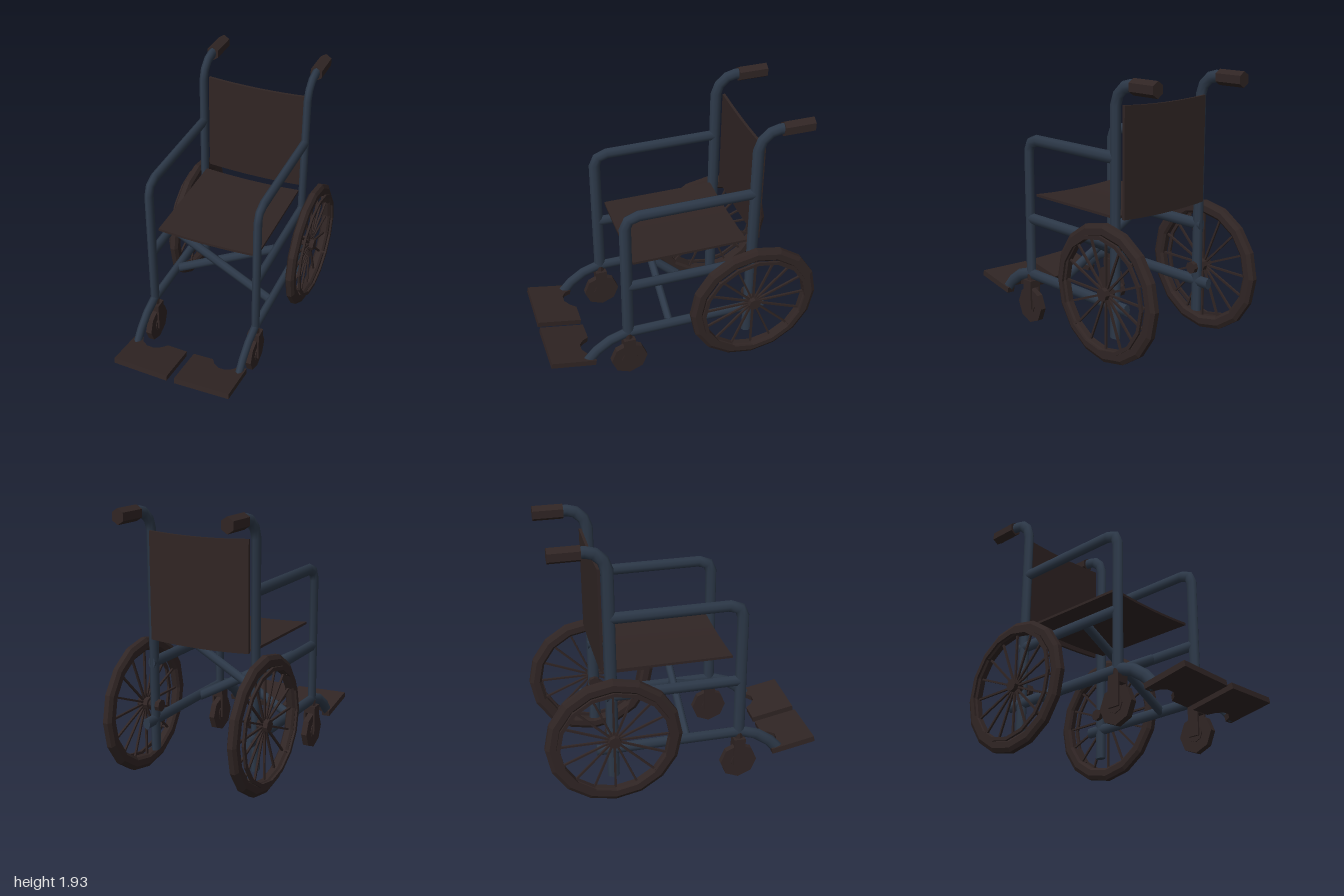
import * as THREE from 'three';
import { mergeGeometries } from 'three/addons/utils/BufferGeometryUtils.js';

const V = (x, y, z) => new THREE.Vector3(x, y, z);

// Polyline whose tube rings sit on the given points with mitred bends
class PolyCurve extends THREE.Curve {
  constructor(pts) { super(); this.pts = pts; }
  index(u) { return Math.round(u * (this.pts.length - 1)); }
  getPointAt(u, target = V(0, 0, 0)) { return target.copy(this.pts[this.index(u)]); }
  getPoint(u, target) { return this.getPointAt(u, target); }
  getTangentAt(u, target = V(0, 0, 0)) {
    const i = this.index(u), p = this.pts, n = p.length - 1;
    const a = i > 0 ? p[i].clone().sub(p[i - 1]).normalize() : V(0, 0, 0);
    const b = i < n ? p[i + 1].clone().sub(p[i]).normalize() : V(0, 0, 0);
    return target.copy(a.add(b).normalize());
  }
}

// Capped tube through points, eight sided
function tube(pts, r) {
  const curve = new PolyCurve(pts);
  const parts = [new THREE.TubeGeometry(curve, pts.length - 1, r, 8, false)];
  for (const u of [0, 1]) {
    const dir = curve.getTangentAt(u).multiplyScalar(u ? 1 : -1);
    const cap = new THREE.CircleGeometry(r, 8);
    cap.applyQuaternion(new THREE.Quaternion().setFromUnitVectors(V(0, 0, 1), dir));
    const p = curve.getPointAt(u);
    parts.push(cap.translate(p.x, p.y, p.z));
  }
  return mergeGeometries(parts);
}

// Faceted copy of a geometry
function flat(geo) {
  const g = geo.index ? geo.toNonIndexed() : geo;
  g.computeVertexNormals();
  return g;
}

// Ring of closed profile [radius, height] turned about y
function ring(profile, sides) {
  const pts = [...profile, profile[0]].map(([r, y]) => new THREE.Vector2(r, y));
  return flat(new THREE.LatheGeometry(pts, sides));
}

export function createModel() {
  const model = new THREE.Group();
  const frameMat = new THREE.MeshStandardMaterial({ color: 0x2d3949 });
  frameMat.name = 'dark blue paint';
  const darkMat = new THREE.MeshStandardMaterial({ color: 0x302524 });
  darkMat.name = 'dark brown';

  const add = (parent, name, geo, mat, x = 0, y = 0, z = 0) => {
    const m = new THREE.Mesh(geo, mat);
    m.name = name;
    m.position.set(x, y, z);
    parent.add(m);
    return m;
  };

  const CX = -0.008, TUBE = 0.043, SQUASH = 0.66;
  const path = (pts) => tube(pts.map(([y, z]) => V(0, y, z)), TUBE).scale(SQUASH, 1, 1);

  // Side frame tubes as [y, z] paths
  const frame = {
    backPost: path([[0.155, -0.51], [1.74, -0.51], [1.81, -0.535], [1.86, -0.59], [1.875, -0.65], [1.875, -0.7]]),
    armrest: path([[0.36, 0.415], [1.31, 0.415], [1.37, 0.39], [1.395, 0.32], [1.395, -0.51]]),
    middleRail: path([[0.807, 0.415], [0.807, -0.545]]),
    lowerRail: path([[0.38, -0.625], [0.38, 0.43], [0.34, 0.55], [0.27, 0.65], [0.19, 0.72]]),
  };

  // Wheel pieces, axis along y, outward is +y
  const tyreGeo = ring([[0.483, -0.018], [0.483, 0.018], [0.455, 0.034], [0.41, 0.034],
    [0.392, 0.02], [0.392, -0.02], [0.41, -0.034], [0.455, -0.034]], 16);
  const handRimGeo = ring([[0.41, 0.047], [0.41, 0.063], [0.384, 0.063], [0.384, 0.047]], 16);

  function wheel(s) {
    const g = new THREE.Group();
    g.name = s > 0 ? 'leftRearWheel' : 'rightRearWheel';
    add(g, 'tyre', tyreGeo, darkMat);
    add(g, 'handRim', handRimGeo, darkMat);
    add(g, 'hub', flat(new THREE.CylinderGeometry(0.045, 0.045, 0.08, 8)), darkMat, 0, 0, 0);
    add(g, 'axle', flat(new THREE.CylinderGeometry(0.025, 0.025, 0.12, 8)), darkMat, 0, -0.06, 0);
    add(g, 'axleNut', flat(new THREE.CylinderGeometry(0.044, 0.044, 0.035, 8)), darkMat, 0, -0.12, 0);
    for (let i = 0; i < 16; i++) {
      const a = (i / 16) * Math.PI * 2;
      const spoke = new THREE.BoxGeometry(0.014, 0.014, 0.37).translate(0, 0, 0.215);
      add(g, 'spoke', spoke, darkMat).rotation.y = a;
      if (i % 4 === 2) {
        const standoff = new THREE.BoxGeometry(0.014, 0.04, 0.014).translate(0, 0.035, 0.396);
        add(g, 'rimStandoff', standoff, darkMat).rotation.y = a;
      }
    }
    g.rotation.z = -s * Math.PI / 2;
    g.position.set(s * 0.476, 0.49, -0.51);
    return g;
  }

  // Small front wheel with its fork
  function caster(s) {
    const g = new THREE.Group();
    g.name = s > 0 ? 'leftCaster' : 'rightCaster';
    const axis = (geo) => flat(geo.rotateZ(Math.PI / 2));
    add(g, 'casterTyre', axis(new THREE.CylinderGeometry(0.136, 0.136, 0.044, 8)), darkMat, 0, 0.136, 0);
    add(g, 'casterHub', axis(new THREE.CylinderGeometry(0.06, 0.06, 0.056, 8)), darkMat, 0, 0.136, 0);
    add(g, 'forkCrown', new THREE.BoxGeometry(0.09, 0.055, 0.085), darkMat, 0, 0.307, 0);
    add(g, 'forkStem', flat(new THREE.CylinderGeometry(0.032, 0.032, 0.06, 8)), darkMat, 0, 0.35, 0);
    for (const side of [-1, 1])
      add(g, 'forkProng', new THREE.BoxGeometry(0.014, 0.2, 0.085), darkMat, side * 0.038, 0.215, 0);
    g.position.set(CX + s * 0.4, 0, 0.415);
    return g;
  }

  // Footplate outline, notched at the rear for the heel
  function footplate(s) {
    const outline = [[-0.205, 0.165], [0.205, 0.165], [0.205, -0.165], [0.145, -0.165], [0.12, -0.115],
      [0.075, -0.085], [0.02, -0.085], [-0.025, -0.12], [-0.055, -0.165], [-0.205, -0.165]];
    const shape = new THREE.Shape(outline.map(([x, z]) => new THREE.Vector2(x * s, z)));
    const geo = new THREE.ExtrudeGeometry(shape, { depth: 0.042, bevelEnabled: false });
    geo.rotateX(Math.PI / 2).translate(0, 0.021, 0);
    const m = add(model, s > 0 ? 'leftFootplate' : 'rightFootplate', geo, darkMat, CX + s * 0.233, 0.212, 0.833);
    m.rotation.set(-0.19, 0, s * 0.03);
  }

  for (const s of [-1, 1]) {
    const x = CX + s * 0.4;
    for (const [name, geo] of Object.entries(frame)) add(model, name, geo, frameMat, x);
    const grip = new THREE.CylinderGeometry(0.055, 0.055, 0.215, 6);
    grip.rotateX(Math.PI / 2).scale(0.88, 1, 1);
    add(model, 'handGrip', flat(grip), darkMat, x, 1.872, -0.783);
    model.add(wheel(s), caster(s));
    footplate(s);
    // Folding cross brace
    const brace = tube([V(-s * 0.395, 0.81, 0), V(s * 0.395, 0.375, 0)], 0.036).scale(1, 1, 0.8);
    add(model, 'crossBrace', brace, frameMat, CX, 0, s > 0 ? 0.1 : 0.03);
  }

  // Sling panels that sag toward the middle
  function sling(w, h, d) {
    const geo = new THREE.BoxGeometry(w, h, d, 8, 1, 1);
    const p = geo.attributes.position;
    for (let i = 0; i < p.count; i++) {
      const t = p.getX(i) / (w / 2);
      p.setY(i, p.getY(i) - 0.015 * (1 - t * t));
    }
    geo.computeVertexNormals();
    return geo;
  }
  add(model, 'seat', sling(0.75, 0.018, 0.835), darkMat, CX + 0.006, 0.985, -0.057);
  add(model, 'backrest', sling(0.755, 0.755, 0.02), darkMat, CX, 1.364, -0.562);

  return model;
}
